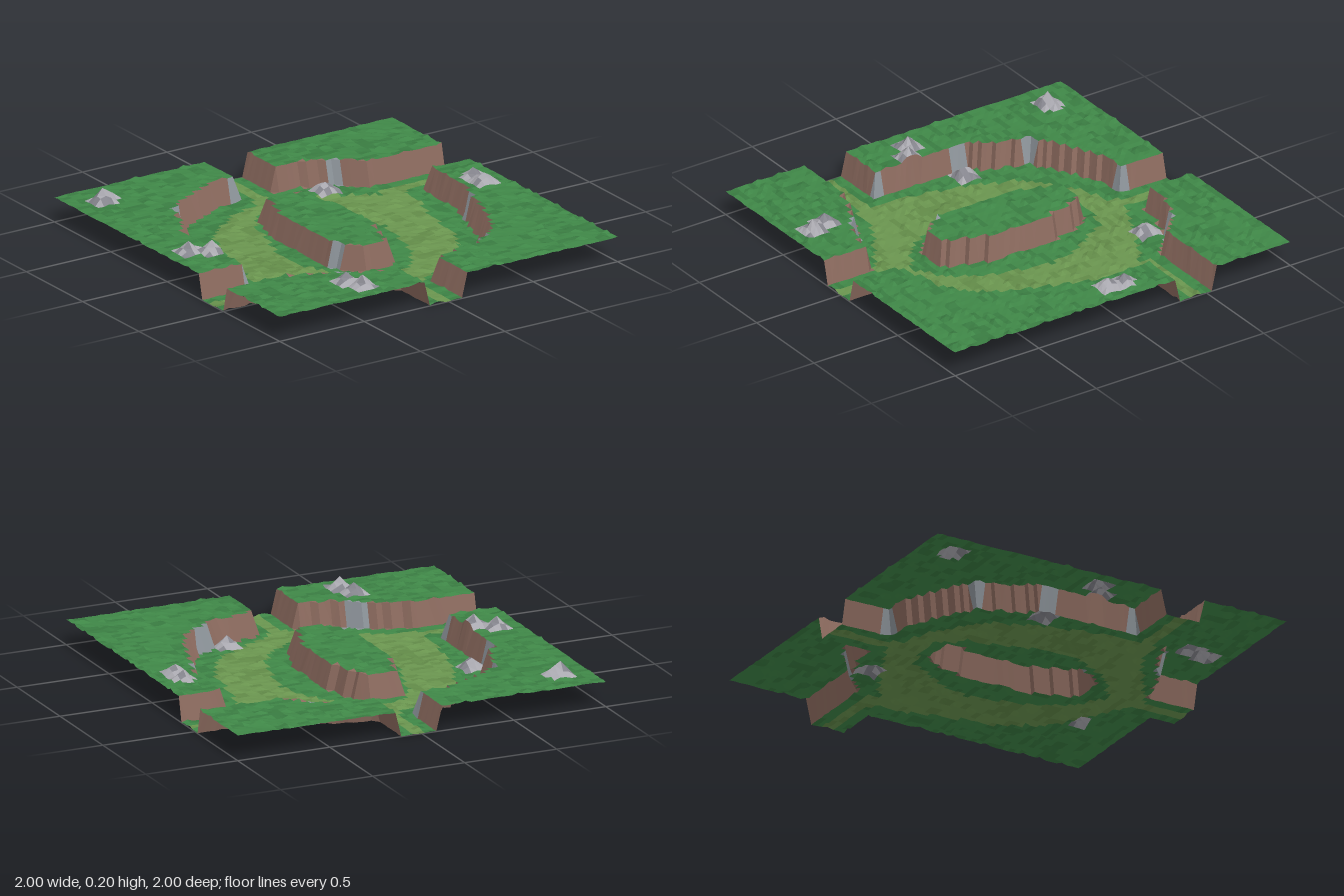
import * as THREE from 'three';

const NX = 63, NZ = 64;      // cells across and deep
const LOW = 0.008, HIGH = 0.135;

// Outlines as x, z pairs
const VALLEY = [-0.1, -1.1, -0.1, -0.725, -0.26, -0.725, -0.36, -0.66, -0.475, -0.61, -0.6, -0.53, -0.63, -0.4, -0.7, -0.28,
  -0.725, -0.25, -0.725, 0.295, -1.1, 0.295, -1.1, 0.52, -0.66, 0.52, -0.5, 0.57, -0.385, 0.655, -0.29, 0.71, -0.14, 0.735,
  -0.13, 0.76, -0.13, 1.1, 0.1, 1.1, 0.1, 0.73, 0.18, 0.69, 0.35, 0.68, 0.39, 0.64, 0.5, 0.58, 0.555, 0.52, 0.6, 0.43,
  0.65, 0.3, 0.685, 0.2, 0.72, 0.1, 0.757, 0, 0.757, -0.33, 1.1, -0.33, 1.1, -0.555, 0.565, -0.555, 0.5, -0.6, 0.43, -0.67,
  0.38, -0.695, 0.27, -0.725, 0.127, -0.725, 0.127, -1.1];
const ISLAND = [-0.13, -0.43, 0.02, -0.43, 0.06, -0.37, 0.09, -0.32, 0.1, -0.2, 0.127, -0.17, 0.127, 0.19, 0.1, 0.23,
  0.075, 0.32, 0.04, 0.41, 0.01, 0.425, -0.1, 0.425, -0.155, 0.37, -0.2, 0.31, -0.225, 0.24, -0.225, -0.21, -0.2, -0.24,
  -0.165, -0.37];
const PATH = [-0.015, -1.1, -0.015, -0.72, -0.05, -0.64, -0.19, -0.6, -0.34, -0.5, -0.475, -0.37, -0.555, -0.18, -0.61, 0.03,
  -0.64, 0.2, -0.66, 0.375, -1.1, 0.375, -1.1, 0.435, -0.59, 0.455, -0.46, 0.49, -0.315, 0.59, -0.18, 0.67, -0.1, 0.72,
  -0.05, 0.75, -0.05, 1.1, 0.015, 1.1, 0.02, 0.72, 0.06, 0.68, 0.19, 0.62, 0.35, 0.52, 0.47, 0.4, 0.54, 0.24, 0.595, -0.05,
  0.65, -0.24, 0.67, -0.415, 1.1, -0.415, 1.1, -0.475, 0.58, -0.475, 0.54, -0.42, 0.43, -0.48, 0.3, -0.55, 0.17, -0.61,
  0.05, -0.67, 0.047, -1.1];
const VERGE = [-0.13, -0.5, 0.03, -0.49, 0.14, -0.45, 0.19, -0.34, 0.27, -0.24, 0.325, -0.05, 0.27, 0.19, 0.22, 0.35,
  0.11, 0.48, -0.02, 0.56, -0.155, 0.47, -0.26, 0.35, -0.33, 0.19, -0.34, -0.02, -0.27, -0.18, -0.235, -0.34];

// Boulder peaks: x, z, height, reach
const BOULDERS = [[-0.84, -0.82, 0.06, 0.07], [-0.8, -0.82, 0.055, 0.055], [0.34, -0.58, 0.065, 0.08],
  [-0.64, -0.19, 0.065, 0.07], [-0.86, 0, 0.055, 0.065], [-0.79, 0.06, 0.06, 0.07], [0.86, -0.1, 0.05, 0.06],
  [0.87, -0.01, 0.062, 0.07], [0.29, 0.61, 0.06, 0.065], [-0.46, 0.79, 0.055, 0.065], [-0.43, 0.86, 0.055, 0.065]];
// Bare stone patches in the cliffs: x, z, reach
const STONE = [[-0.11, -0.73, 0.04], [-0.6, -0.56, 0.06], [-0.725, -0.2, 0.04], [-0.72, 0.29, 0.03], [-0.41, 0.65, 0.06],
  [-0.2, 0.3, 0.04], [0.72, 0.1, 0.04], [0.43, 0.61, 0.06], [0.43, -0.66, 0.04]];

const COLORS = {
  grass: 0x3f8747, darkGrass: 0x397c41, path: 0x6a954f, darkPath: 0x628b48,
  cliff: 0x8b6a5e, cliffStone: 0x8d949a, boulder: 0xaaa9b0, boulderShade: 0x85858d,
};

function inside(p, x, z) {
  let hit = false;
  for (let i = 0, j = p.length - 2; i < p.length; j = i, i += 2) {
    if ((p[i + 1] > z) !== (p[j + 1] > z) &&
      x < (p[j] - p[i]) * (z - p[i + 1]) / (p[j + 1] - p[i + 1]) + p[i]) hit = !hit;
  }
  return hit;
}

// Repeatable noise from grid indices, 0 to 1
function noise(i, j) {
  const s = Math.sin(i * 127.1 + j * 311.7) * 43758.5453;
  return s - Math.floor(s);
}

const gx = i => -1 + 2 * i / NX;
const gz = j => -1 + 2 * j / NZ;
const snap = (v, n) => Math.round((v + 1) * n / 2) * 2 / n - 1;

function boulderLift(x, z) {
  let lift = 0;
  for (const [bx, bz, h, r] of BOULDERS) {
    const d = Math.hypot(x - snap(bx, NX), z - snap(bz, NZ));
    lift = Math.max(lift, h * (1 - d / r));
  }
  return lift;
}

export function createModel() {
  const group = new THREE.Group();
  group.name = 'terrain';

  // Ground heights on the grid
  const ground = [];
  for (let i = 0; i <= NX; i++) {
    ground.push([]);
    for (let j = 0; j <= NZ; j++) {
      const x = gx(i), z = gz(j);
      const high = !inside(VALLEY, x, z) || inside(ISLAND, x, z);
      const lift = boulderLift(x, z);
      const n = noise(i, j);
      // Mostly level turf with an occasional tuft
      const bump = n > 0.9 ? 0.009 : (n - 0.5) * 0.006;
      const y = (high ? HIGH : LOW) + bump + lift * (0.85 + 0.3 * noise(j, i + 9));
      ground[i].push({ x, y: Math.max(0, y), z, high, lift });
    }
  }

  // Sort the cells into one surface per colour
  const cells = {};
  for (const name in COLORS) cells[name] = [];
  for (let i = 0; i < NX; i++) {
    for (let j = 0; j < NZ; j++) {
      const q = [ground[i][j], ground[i][j + 1], ground[i + 1][j + 1], ground[i + 1][j]];
      const x = (q[0].x + q[2].x) / 2, z = (q[0].z + q[2].z) / 2;
      const shade = noise(i >> 1, j + 40) > 0.7;
      let name;
      if (q.some(v => v.high !== q[0].high)) {
        name = STONE.some(s => Math.hypot(x - s[0], z - s[1]) < s[2]) ? 'cliffStone' : 'cliff';
      } else if (q.some(v => v.lift > 0.015)) {
        name = noise(i, j + 5) > 0.6 ? 'boulderShade' : 'boulder';
      } else if (!q[0].high && inside(PATH, x, z) && !inside(VERGE, x, z)) {
        name = shade ? 'darkPath' : 'path';
      } else {
        name = shade ? 'darkGrass' : 'grass';
      }
      for (const k of [0, 1, 2, 0, 2, 3]) cells[name].push(q[k].x, q[k].y, q[k].z);
    }
  }

  for (const name in cells) {
    const geometry = new THREE.BufferGeometry();
    geometry.setAttribute('position', new THREE.Float32BufferAttribute(cells[name], 3));
    geometry.computeVertexNormals();
    const mesh = new THREE.Mesh(geometry, new THREE.MeshStandardMaterial({
      color: COLORS[name], flatShading: true, side: THREE.DoubleSide,
    }));
    mesh.name = name;
    group.add(mesh);
  }
  return group;
}
